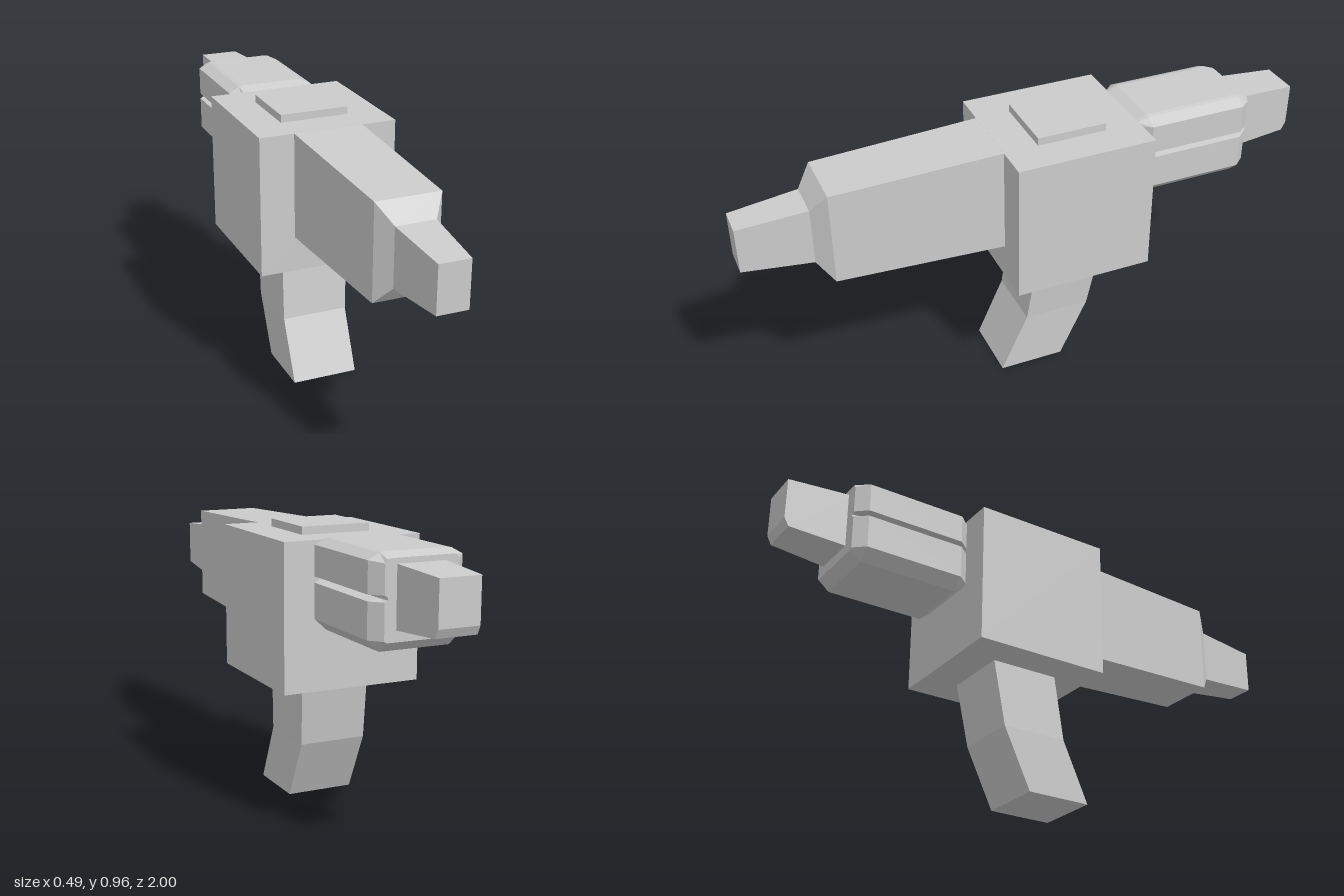
import * as THREE from 'three';

const material = new THREE.MeshStandardMaterial({ color: 0xcccccc, flatShading: true });

// Closed solid skinned over rings of [x, y, z] points; flat = the two axes used to triangulate the caps
function loft(rings, flat = [0, 1]) {
  const n = rings[0].length;
  const tris = [];
  for (let r = 0; r < rings.length - 1; r++) {
    const a = rings[r], b = rings[r + 1];
    for (let i = 0; i < n; i++) {
      const j = (i + 1) % n;
      tris.push([a[i], a[j], b[j]], [a[i], b[j], b[i]]);
    }
  }
  const first = rings[0], last = rings[rings.length - 1];
  const outline = first.map(p => new THREE.Vector2(p[flat[0]], p[flat[1]]));
  const ccw = !THREE.ShapeUtils.isClockWise(outline);
  for (const f of THREE.ShapeUtils.triangulateShape(outline, [])) {
    const [i, j, k] = f;
    // Make each cap triangle follow the ring direction
    const [p, q, s] = [outline[i], outline[j], outline[k]];
    const up = (q.x - p.x) * (s.y - p.y) - (q.y - p.y) * (s.x - p.x) > 0;
    const [u, v, w] = up === ccw ? [i, j, k] : [i, k, j];
    tris.push([first[u], first[w], first[v]], [last[u], last[v], last[w]]);
  }
  // Turn the whole skin outward if its volume is negative
  const va = new THREE.Vector3(), vb = new THREE.Vector3(), vc = new THREE.Vector3();
  let volume = 0;
  for (const [a, b, c] of tris) {
    volume += va.fromArray(a).dot(vb.fromArray(b).cross(vc.fromArray(c)));
  }
  if (volume < 0) tris.forEach(t => t.reverse());
  const geometry = new THREE.BufferGeometry();
  geometry.setAttribute('position', new THREE.Float32BufferAttribute(tris.flat(2), 3));
  geometry.computeVertexNormals();
  return geometry;
}

// Rectangle facing z, and rectangle facing y
const rectZ = (z, w, y0, y1) => [[-w, y0, z], [w, y0, z], [w, y1, z], [-w, y1, z]];
const rectY = (y, x0, x1, z0, z1) => [[x0, y, z0], [x1, y, z0], [x1, y, z1], [x0, y, z1]];

// Mirrored outline facing z from its right half, listed top to bottom
const mirrored = (z, half, shift) => [
  ...half.map(([x, y]) => [x + shift, y, z]),
  ...[...half].reverse().map(([x, y]) => [-x + shift, y, z]),
];

export function createModel() {
  const group = new THREE.Group();
  const add = (name, geometry) => {
    const mesh = new THREE.Mesh(geometry, material);
    mesh.name = name;
    group.add(mesh);
    return mesh;
  };

  // Central block and the plate on top
  add('body', new THREE.BoxGeometry(0.49, 0.495, 0.49)).position.set(0, 0.6875, -0.12);
  add('topPlate', new THREE.BoxGeometry(0.245, 0.03, 0.245)).position.set(0, 0.947, -0.118);

  // Tapered barrel with a stepped-down nose
  add('barrel', loft([
    rectZ(0.12, 0.123, 0.565, 0.935),
    rectZ(0.71, 0.111, 0.586, 0.914),
    rectZ(0.762, 0.068, 0.65, 0.85),
    rectZ(1, 0.053, 0.67, 0.83),
  ]));

  // Bent grip
  add('grip', loft([
    rectY(0, -0.13, 0.105, -0.1, 0.132),
    rectY(0.21, -0.131, 0.106, -0.2, 0.036),
    rectY(0.445, -0.123, 0.123, -0.24, 0.005),
  ], [0, 2]));

  // Rear housing: chamfered ends, and a groove along each side
  const narrow = [[0.1, 0.934], [0.118, 0.932], [0.125, 0.92], [0.125, 0.826],
    [0.115, 0.82], [0.115, 0.812], [0.125, 0.806], [0.125, 0.69], [0.115, 0.685]];
  const wide = [[0.108, 0.949], [0.122, 0.946], [0.16, 0.926], [0.16, 0.826],
    [0.12, 0.82], [0.12, 0.812], [0.16, 0.806], [0.16, 0.69], [0.12, 0.652]];
  add('rearHousing', loft([
    mirrored(-0.36, narrow, -0.004),
    mirrored(-0.402, wide, -0.004),
    mirrored(-0.75, wide, -0.004),
    mirrored(-0.79, narrow, -0.004),
  ]));

  // Rear stub, its lower end edge cut off
  add('rearStub', loft([
    rectZ(-0.78, 0.082, 0.72, 0.917),
    rectZ(-0.985, 0.07, 0.733, 0.907),
    rectZ(-1, 0.069, 0.762, 0.906),
  ]));

  return group;
}
